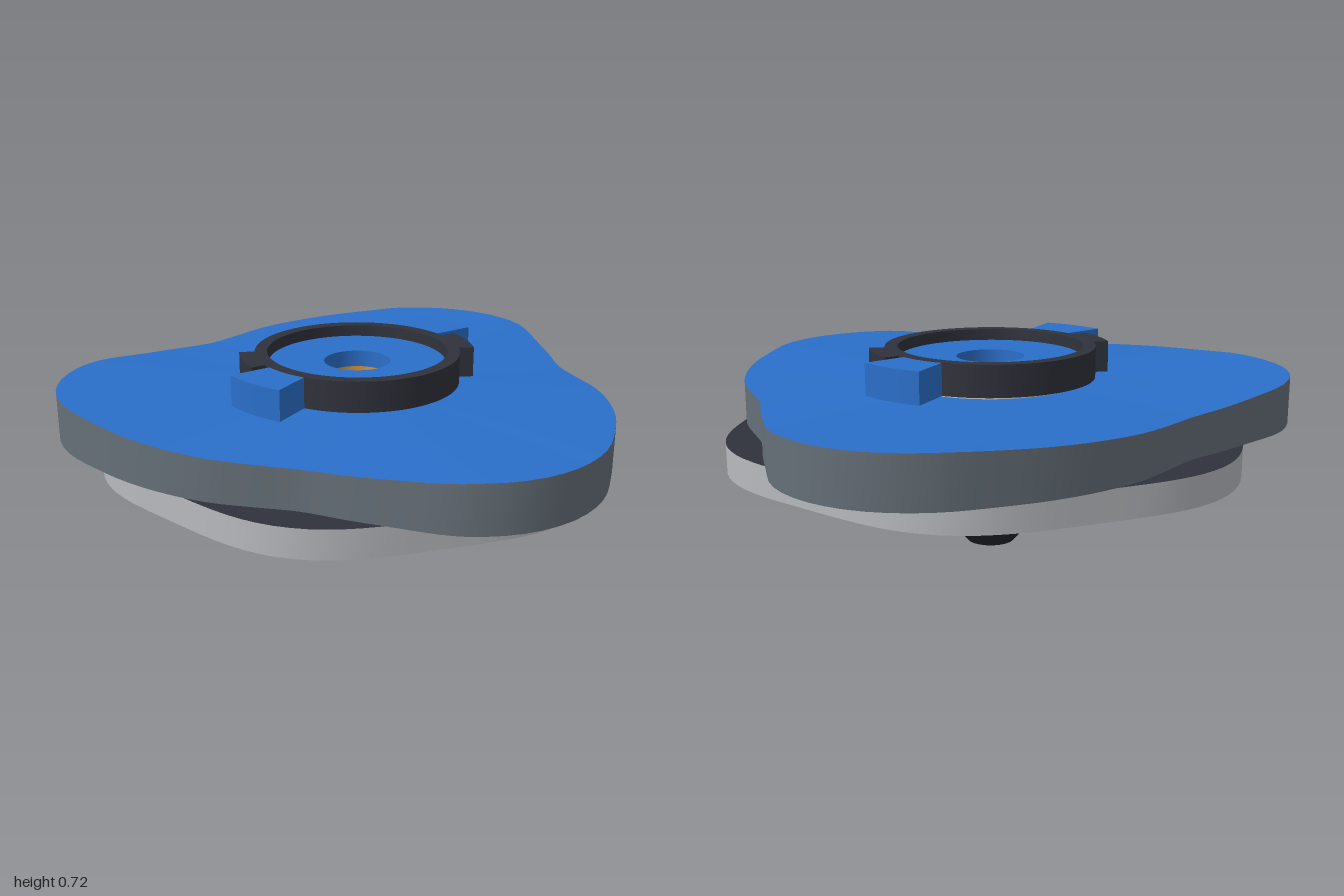
import * as THREE from 'three';

const BLUE = 0x2a6fca, DARK = 0x30323c, GUN = 0x667078, SILVER = 0xb8babe, ORANGE = 0xe09530, BLACK = 0x24262e;
const SEG = 108;

// Three-lobed outline: radius every 10 degrees over one third of a turn
const LOBE = [0.815, 0.855, 0.92, 1.015, 1.068, 1.077, 1.045, 0.985, 0.94, 0.9, 0.865, 0.828];
function lobeRadius(a) {
  const t = (a / (Math.PI * 2)) * 36, i = Math.floor(t + 1e-9), f = t - i;
  const [p, q, r, s] = [-1, 0, 1, 2].map((k) => LOBE[(i + k + 36) % 12]);
  return q + 0.5 * f * (r - p + f * (2 * p - 5 * q + 4 * r - s + f * (3 * (q - r) + s - p)));
}
// Rim rises towards each lobe
const lobeTop = (a) => 0.58 + 0.03 * Math.min(1, (lobeRadius(a) - 0.815) / 0.22);
const discRadius = (a) => 0.905 + 0.025 * Math.cos(6 * a);
const gearRadius = (a) => 0.475 + 0.025 * Math.cos(12 * a);

// Surface around the axis; each profile entry is [radius, height], numbers or functions of angle.
// Profiles run bottom to top on outer walls; every band keeps sharp edges to its neighbours.
function turned(name, color, profile) {
  const pos = [], index = [];
  const at = (v, a) => (typeof v === 'function' ? v(a) : v);
  for (let b = 0; b < profile.length - 1; b++) {
    const base = pos.length / 3;
    for (let i = 0; i <= SEG; i++) {
      const a = (i / SEG) * Math.PI * 2;
      for (const [r, y] of [profile[b], profile[b + 1]]) {
        pos.push(at(r, a) * Math.cos(a), at(y, a), -at(r, a) * Math.sin(a));
      }
      if (i < SEG) {
        const k = base + i * 2;
        if (profile[b][0] !== 0) index.push(k, k + 2, k + 3);
        if (profile[b + 1][0] !== 0) index.push(k, k + 3, k + 1);
        if (profile[b][0] === 0) index.push(k, k + 3, k + 1);
      }
    }
  }
  const g = new THREE.BufferGeometry();
  g.setAttribute('position', new THREE.Float32BufferAttribute(pos, 3));
  g.setIndex(index);
  g.computeVertexNormals();
  return make(name, color, g);
}

function make(name, color, geometry) {
  const mesh = new THREE.Mesh(geometry, new THREE.MeshStandardMaterial({ color }));
  mesh.name = name;
  return mesh;
}

// Block following an arc, from height y0 to y1
function arcBlock(name, color, r0, r1, a0, a1, y0, y1) {
  const s = new THREE.Shape();
  s.absarc(0, 0, r1, a0, a1, false);
  s.absarc(0, 0, r0, a1, a0, true);
  const g = new THREE.ExtrudeGeometry(s, { depth: y1 - y0, bevelEnabled: false, curveSegments: 6 });
  g.rotateX(-Math.PI / 2).translate(0, y0, 0);
  return make(name, color, g);
}

export function createModel() {
  const model = new THREE.Group();
  model.name = 'spinningTop';
  const body = new THREE.Group();
  body.name = 'body';
  body.position.set(0.06, 0, -0.06);
  model.add(body);

  body.add(
    // Tip and its cone
    turned('tipCap', ORANGE, [[0, 0], [0.075, 0]]),
    turned('tipCone', BLACK, [[0.075, 0], [0.085, 0.002], [0.165, 0.09], [0.205, 0.125], [0.24, 0.158], [0.24, 0.18]]),
    turned('tipCollar', BLACK, [[0.2, 0.18], [0.32, 0.18], [0.32, 0.22]]),
    // Scalloped grip
    turned('grip', BLACK, [[0.28, 0.215], [gearRadius, 0.215], [gearRadius, 0.335]]),
    // Weight disc with dark top
    turned('weightDisc', SILVER, [[0.2, 0.335], [discRadius, 0.335], [discRadius, 0.438]]),
    turned('weightDiscTop', DARK, [[discRadius, 0.438], [0.12, 0.438]]),
    // Three-lobed layer
    turned('layerUnderside', DARK, [[0.12, 0.44], [lobeRadius, 0.44]]),
    turned('layerRim', GUN, [[lobeRadius, 0.44], [lobeRadius, lobeTop]]),
    turned('layerTop', BLUE, [[lobeRadius, lobeTop], [0.33, 0.598], [0.12, 0.598]]),
    // Centre: pale seat, blue face with a hole, and the well below it
    turned('seat', 0xcccccc, [[0.333, 0.59], [0.333, 0.635], [0.31, 0.635]]),
    turned('centreFace', BLUE, [[0.12, 0.62], [0.32, 0.62], [0.32, 0.68], [0.12, 0.68], [0.12, 0.62]]),
    turned('wellUpper', ORANGE, [[0.12, 0.62], [0.12, 0.59]]),
    turned('wellLower', 0xcccccc, [[0.12, 0.59], [0.12, 0.4]]),
    turned('wellFloor', ORANGE, [[0.12, 0.4], [0, 0.4]]),
    // Lock ring
    turned('lockRing', DARK, [[0.325, 0.61], [0.37, 0.61], [0.37, 0.72], [0.325, 0.72], [0.325, 0.61]]),
  );

  // Opposite pairs of ring tabs and stops
  for (const turn of [0, Math.PI]) {
    body.add(
      arcBlock('ringTab', DARK, 0.36, 0.425, turn - 0.23, turn + 0.23, 0.61, 0.72),
      arcBlock('layerStop', BLUE, 0.371, 0.525, turn + 0.31, turn + 0.76, 0.61, 0.72),
    );
  }
  return model;
}
